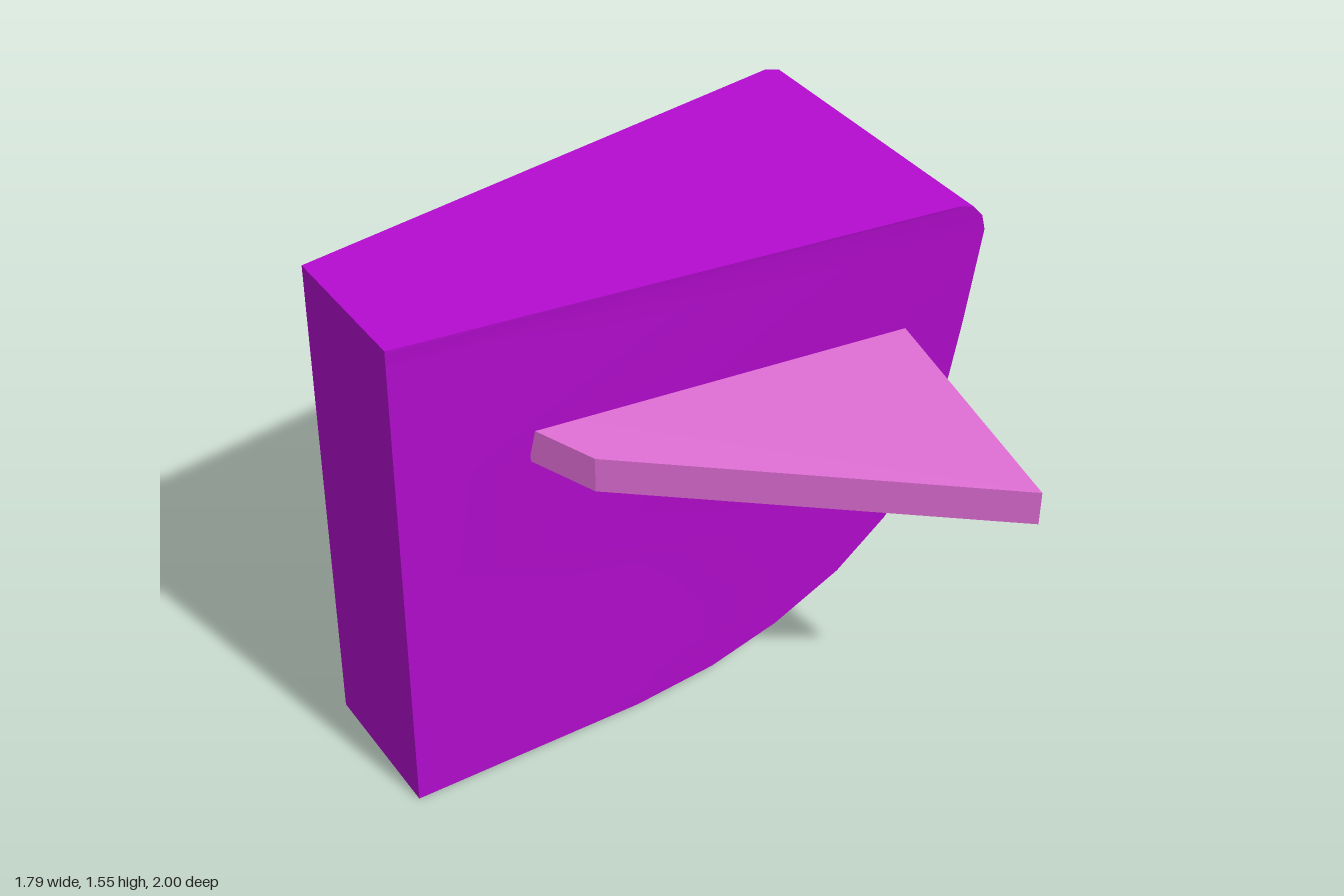
import * as THREE from 'three';

const purple = new THREE.MeshStandardMaterial({ name: 'body purple', color: 0xb40ccf });
const pink = new THREE.MeshStandardMaterial({ name: 'fin pink', color: 0xd668cc });
const navy = new THREE.MeshStandardMaterial({ name: 'window navy', color: 0x0b0b28 });

// Curved front edge [x, y] from the bottom up
const curve = [[-0.16, 0], [0.1, 0.03], [0.32, 0.105], [0.53, 0.23], [0.68, 0.39], [0.78, 0.58],
  [0.81, 0.77], [0.822, 1.1], [0.825, 1.44], [0.805, 1.495], [0.77, 1.535], [0.72, 1.55]];
const BACK = -0.895, BACK_HALF = 0.23;
const frontHalf = (y) => Math.min(0.455, 0.235 + 0.147 * y);

function mesh(name, geometry, material, parent) {
  const m = new THREE.Mesh(geometry, material);
  m.name = name;
  parent.add(m);
  return m;
}

function quads(points, index) {
  const g = new THREE.BufferGeometry();
  g.setAttribute('position', new THREE.Float32BufferAttribute(points.flat(), 3));
  g.setIndex(index);
  return g;
}

// Side wall: each row runs from the straight back to the curved front
function sideWall(s) {
  const points = [], index = [];
  curve.forEach(([x, y], i) => {
    points.push([BACK, y, s * BACK_HALF], [x, y, s * frontHalf(y)]);
    if (i === 0) return;
    const a = 2 * i - 2, b = a + 1, c = a + 2, d = a + 3;
    index.push(...(s > 0 ? [a, b, d, a, d, c] : [a, d, b, a, c, d]));
  });
  const g = quads(points, index);
  g.computeVertexNormals();
  return g;
}

// Flat-faceted strip around bottom, curved front, top and back
function rim() {
  const loop = [[BACK, 0, BACK_HALF], ...curve.map(([x, y]) => [x, y, frontHalf(y)]),
    [BACK, 1.55, BACK_HALF]];
  const points = [], index = [];
  loop.forEach(([x, y, w], i) => {
    points.push([x, y, w], [x, y, -w]);
    const a = 2 * i, b = a + 1, c = 2 * ((i + 1) % loop.length), d = c + 1;
    index.push(a, b, d, a, d, c);
  });
  const g = quads(points, index).toNonIndexed();
  g.computeVertexNormals();
  return g;
}

// Drooping swept fin
function fin(s) {
  const outline = [[-0.6, 0.143], [-0.41, 0.42], [0.625, 1.0], [0.625, 0.143]];
  const shape = new THREE.Shape(outline.map(([x, z]) => new THREE.Vector2(x, -s * z)));
  const g = new THREE.ExtrudeGeometry(shape, { depth: 0.107, bevelEnabled: false });
  g.rotateX(-Math.PI / 2);
  const p = g.attributes.position;
  for (let i = 0; i < p.count; i++) p.setY(i, p.getY(i) + 1.153 - 0.284 * Math.abs(p.getZ(i)));
  g.computeVertexNormals();
  return g;
}

// Symmetric outline from its right half
const mirrored = (half) => [...half, ...half.map(([u, y]) => [-u, y]).reverse()]
  .map(([u, y]) => new THREE.Vector2(u, y));

// Extrude towards +x, leaning slightly forward at the top
function faceForward(shape, start, depth) {
  const g = new THREE.ExtrudeGeometry(shape, { depth, bevelEnabled: false });
  g.rotateY(Math.PI / 2);
  const p = g.attributes.position;
  for (let i = 0; i < p.count; i++) p.setX(i, p.getX(i) + start + 0.025 * (p.getY(i) - 1));
  g.computeVertexNormals();
  return g;
}

export function createModel() {
  const model = new THREE.Group();
  model.name = 'finnedPod';

  const body = new THREE.Group();
  body.name = 'body';
  model.add(body);
  mesh('bodyRim', rim(), purple, body);
  for (const s of [1, -1]) {
    mesh(s > 0 ? 'frontSide' : 'backSide', sideWall(s), purple, body);
    mesh(s > 0 ? 'frontFin' : 'backFin', fin(s), pink, model);
  }

  // Window frame with a recessed dark pane
  const outer = mirrored([[0.165, 1.357], [0.178, 1.35], [0.18, 1.33], [0.067, 1.02], [0.055, 1.005], [0.04, 1.0]]);
  const inner = mirrored([[0.14, 1.325], [0.15, 1.315], [0.037, 1.045], [0.018, 1.03]]);
  const frame = new THREE.Shape(outer);
  frame.holes.push(new THREE.Path(inner));
  mesh('windowFrame', faceForward(frame, 0.79, 0.093), pink, model);
  mesh('windowPane', faceForward(new THREE.Shape(inner), 0.836, 0.008), navy, model);
  return model;
}
